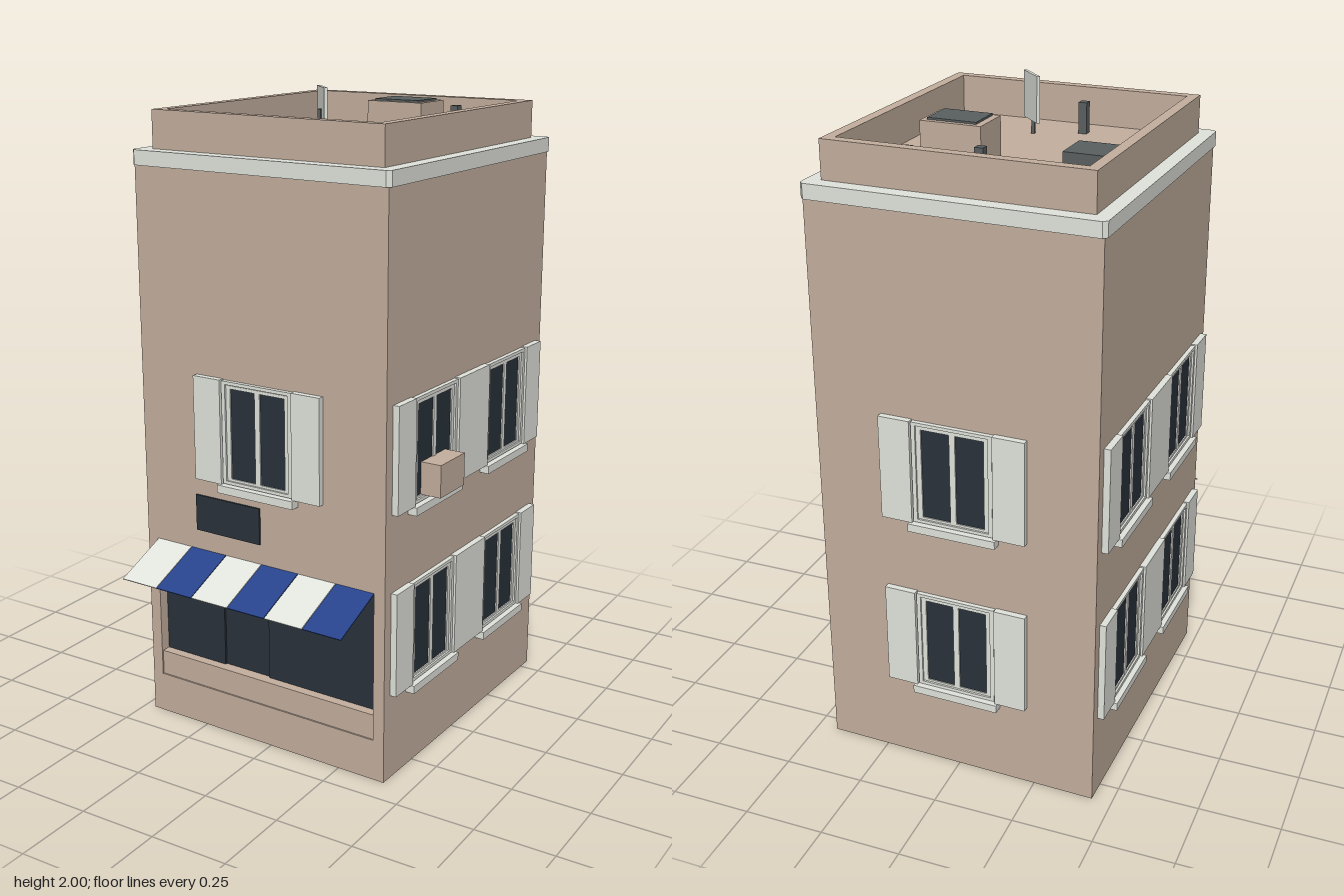
import * as THREE from 'three';

const mat = (name, color) => {
  const m = new THREE.MeshStandardMaterial({ color });
  m.name = name;
  return m;
};

export function createModel() {
  const wall = mat('wall plaster', 0xc4b09f);
  const trim = mat('pale trim', 0xe2e4dd);
  const glass = mat('dark glass', 0x29323a);
  const blue = mat('awning blue', 0x27438c);
  const metal = mat('grey metal', 0x5a5f60);

  const W = 0.875, D = 0.965, T = 0.035, ROOF = 1.815;

  const model = new THREE.Group();
  model.name = 'townhouse';
  const house = new THREE.Group();
  house.name = 'building';
  house.position.set(-0.0145, 0, -0.078);
  house.rotation.y = -0.028;
  model.add(house);

  const add = (parent, name, geometry, material, x, y, z) => {
    const m = new THREE.Mesh(geometry, material);
    m.name = name;
    m.position.set(x, y, z);
    parent.add(m);
    return m;
  };
  const box = (parent, name, material, w, h, d, x, y, z) =>
    add(parent, name, new THREE.BoxGeometry(w, h, d), material, x, y, z);

  // Rectangle outline with optional cut corners
  const rect = (C, w, h, c = 0, x = 0, y = 0) => {
    const a = w / 2, b = h / 2;
    const pts = c
      ? [[-a + c, -b], [a - c, -b], [a, -b + c], [a, b - c], [a - c, b], [-a + c, b], [-a, b - c], [-a, -b + c]]
      : [[-a, -b], [a, -b], [a, b], [-a, b]];
    return new C(pts.map(([px, py]) => new THREE.Vector2(px + x, py + y)));
  };
  const extrude = (shape, depth) => new THREE.ExtrudeGeometry(shape, { depth, bevelEnabled: false });
  // Rectangular frame with an opening
  const frameShape = (w, h, iw, ih, c) => {
    const s = rect(THREE.Shape, w, h, c);
    s.holes.push(rect(THREE.Path, iw, ih));
    return s;
  };
  // Frame lying in plan, extruded upward
  const ring = (name, material, w, d, iw, id, y0, y1, c) =>
    add(house, name, extrude(frameShape(w, d, iw, id, c), y1 - y0).rotateX(-Math.PI / 2), material, 0, y0, 0);

  // Walls: front has the shop opening
  const front = rect(THREE.Shape, W, 1.8, 0, 0, 0.9);
  front.holes.push(rect(THREE.Path, 0.8, 0.47, 0, 0, 0.365));
  add(house, 'frontWall', extrude(front, 0.04), wall, 0, 0, D / 2 - 0.04);
  box(house, 'backWall', wall, W, 1.8, T, 0, 0.9, -D / 2 + T / 2);
  for (const s of [-1, 1])
    box(house, 'sideWall', wall, T, 1.8, D - T - 0.04, s * (W / 2 - T / 2), 0.9, -0.0025);
  box(house, 'floor', trim, W - 2 * T, 0.02, D - T - 0.04, 0, 0.14, -0.0025);
  box(house, 'roofDeck', wall, 0.78, 0.02, 0.86, 0, ROOF - 0.01, 0);

  // Cornice and parapet
  ring('cornice', trim, 0.89, 0.98, 0.78, 0.86, 1.77, 1.815, 0.012);
  ring('parapet', wall, 0.80, 0.885, 0.735, 0.82, 1.77, 1.93);

  // Shop front, middle pane set back as a door
  box(house, 'shopSillPanel', wall, 0.8, 0.08, 0.05, 0, 0.17, D / 2 - 0.03);
  for (const [x0, x1, back] of [[-0.4, -0.17, 0.035], [-0.17, 0, 0.042], [0, 0.4, 0.035]])
    box(house, 'shopPane', glass, x1 - x0, 0.39, 0.009, (x0 + x1) / 2, 0.405, D / 2 - back - 0.0045);

  // Striped awning
  const awning = new THREE.Group();
  awning.name = 'awning';
  awning.position.set(0, 0.6, D / 2);
  awning.rotation.x = Math.atan2(0.075, 0.175);
  house.add(awning);
  for (let i = 0; i < 6; i++)
    box(awning, 'awningStripe', i % 2 ? blue : trim, 0.131, 0.003, 0.192, -0.331 + i * 0.1333, 0, 0.096);

  box(house, 'signBoard', glass, 0.238, 0.115, 0.006, -0.119, 0.7225, D / 2 + 0.003);

  // Window with shutters; local z points out of the wall
  const addWindow = (facade, x, y) => {
    const g = new THREE.Group();
    g.name = 'window';
    g.position.set(x, y, 0);
    facade.add(g);
    add(g, 'windowFrame', extrude(frameShape(0.25, 0.32, 0.225, 0.3), 0.014), trim, 0, 0, 0);
    add(g, 'windowSash', extrude(frameShape(0.225, 0.3, 0.195, 0.28), 0.008), trim, 0, -0.003, 0);
    box(g, 'windowPane', glass, 0.195, 0.28, 0.004, 0, -0.003, 0.002);
    box(g, 'mullion', trim, 0.018, 0.28, 0.008, 0, -0.003, 0.004);
    box(g, 'windowSill', trim, 0.275, 0.025, 0.03, 0, -0.175, 0.015);
    for (const s of [-1, 1])
      box(g, 'shutter', trim, 0.098, 0.325, 0.02, s * 0.177, 0.0, 0.01);
  };

  // Facades: direction, distance, window columns, window rows
  const LOW = 0.435, HIGH = 1.0, COL = 0.2225;
  const facades = [
    ['frontFacade', 0, D / 2, [0], [HIGH]],
    ['backFacade', Math.PI, D / 2, [0], [LOW, HIGH]],
    ['leftFacade', Math.PI / 2, W / 2, [-COL, COL], [LOW, HIGH]],
    ['rightFacade', -Math.PI / 2, W / 2, [-COL, COL], [LOW, HIGH]],
  ];
  for (const [name, angle, dist, cols, rows] of facades) {
    const f = new THREE.Group();
    f.name = name;
    f.rotation.y = angle;
    f.position.set(Math.sin(angle) * dist, 0, Math.cos(angle) * dist);
    house.add(f);
    for (const x of cols) for (const y of rows) addWindow(f, x, y);
  }

  // Air conditioner under a side window
  box(house, 'airConditioner', wall, 0.07, 0.1, 0.143, W / 2 + 0.035, 0.905, COL);

  // Roof hatch, vent box and pipes
  const onRoof = (name, material, w, h, d, x, z) => box(house, name, material, w, h, d, x, ROOF + h / 2, z);
  onRoof('roofHatch', wall, 0.187, 0.125, 0.137, 0.1275, -0.126);
  box(house, 'hatchLid', metal, 0.15, 0.008, 0.113, 0.13, ROOF + 0.127, -0.122);
  onRoof('ventBox', metal, 0.13, 0.05, 0.13, -0.231, -0.024);
  for (const [x, z] of [[-0.005, -0.282], [0.178, -0.353], [-0.08, 0.306]])
    onRoof('ventPipe', metal, 0.026, 0.095, 0.026, x, z);

  // Aerial panel on its pole
  onRoof('aerialPole', metal, 0.01, 0.123, 0.01, 0.059, 0.243);
  box(house, 'aerialPanel', trim, 0.1, 0.14, 0.01, 0.058, 1.93, 0.228).rotation.y = -Math.PI / 4;

  return model;
}
